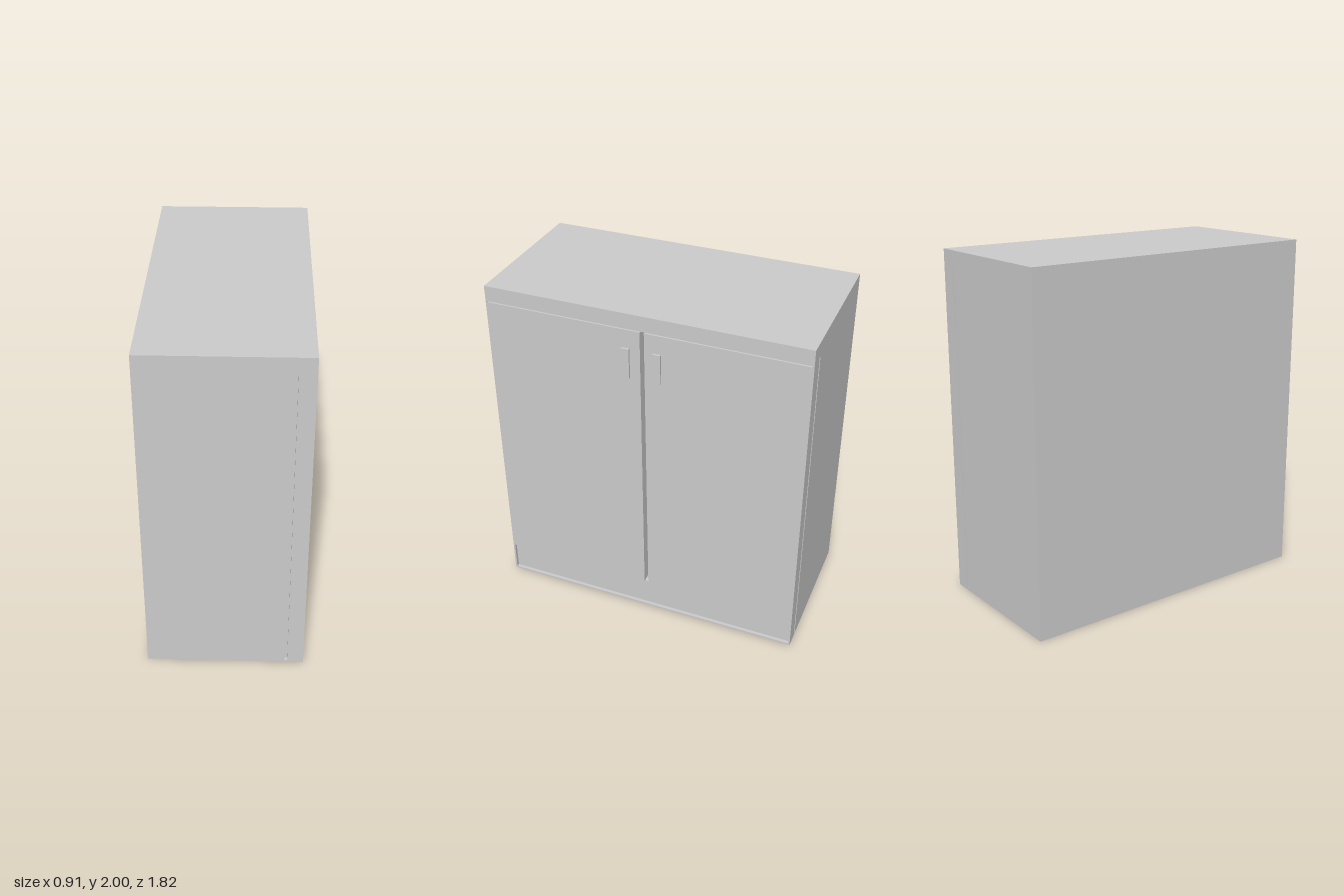
import * as THREE from 'three';

const grey = new THREE.MeshStandardMaterial({ color: 0xcccccc });

export function createModel() {
  const model = new THREE.Group();
  model.name = 'cabinet';

  // Adds a box given by its limits on each axis
  function box(name, [x0, x1], [y0, y1], [z0, z1], parent = model) {
    const mesh = new THREE.Mesh(new THREE.BoxGeometry(x1 - x0, y1 - y0, z1 - z0), grey);
    mesh.position.set((x0 + x1) / 2, (y0 + y1) / 2, (z0 + z1) / 2);
    mesh.name = name;
    parent.add(mesh);
    return mesh;
  }

  const back = -0.455, front = 0.43, half = 0.91;
  const floorTop = 0.012, topUnder = 1.911;
  const grooveBack = 0.325, doorBack = 0.34;

  // Carcass: top and bottom slabs, body, and a core set in behind the side grooves
  box('topSlab', [back, front], [topUnder, 2], [-half, half]);
  box('bottomSlab', [back, front], [0, floorTop], [-half, half]);
  box('body', [back, grooveBack], [floorTop, topUnder], [-half, half]);
  box('grooveCore', [grooveBack, doorBack], [floorTop, topUnder], [-0.89, 0.89]);

  // Recessed plinth panel under the doors
  box('plinth', [doorBack, 0.412], [floorTop, 0.18], [-0.9, 0.9]);

  for (const side of [-1, 1]) {
    const span = (a, b) => (side > 0 ? [a, b] : [-b, -a]);

    // Thin side strip in front of the groove, and a door with gaps around it
    box('sideStrip', [doorBack, front], [floorTop, topUnder], span(0.9, half));
    box('door', [doorBack, front], [0.192, 1.905], span(0.012, 0.9));

    // Handle: flat upright plate on a short round stem
    const handle = new THREE.Group();
    handle.name = 'handle';
    box('handlePlate', [0.441, 0.453], [1.63, 1.805], span(0.066, 0.111), handle);
    const stem = new THREE.Mesh(new THREE.CylinderGeometry(0.017, 0.017, 0.014, 20), grey);
    stem.name = 'handleStem';
    stem.rotation.z = Math.PI / 2;
    stem.position.set(0.436, 1.717, side * 0.0885);
    handle.add(stem);
    model.add(handle);
  }
  return model;
}
